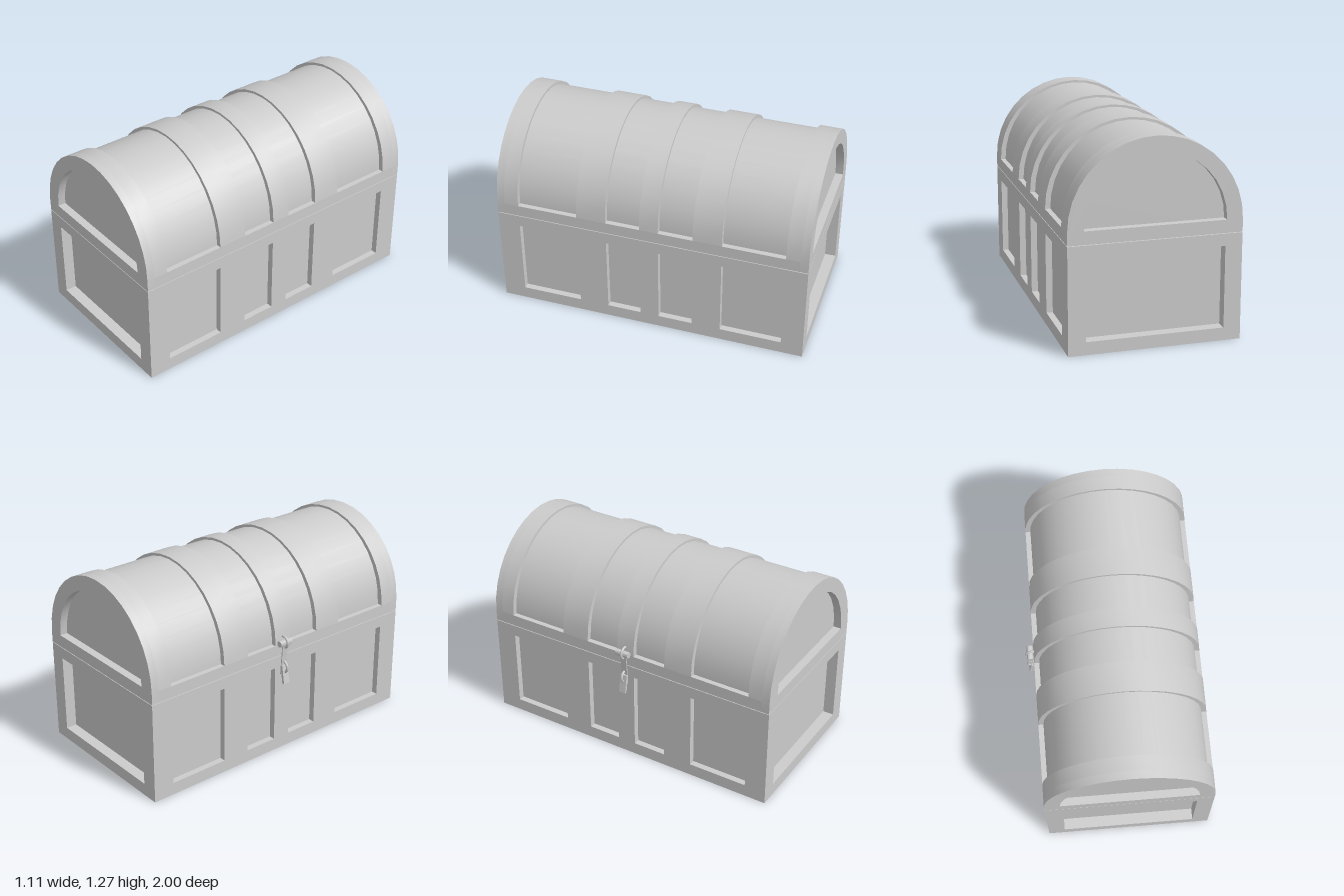
import * as THREE from 'three';
import { toCreasedNormals } from 'three/addons/utils/BufferGeometryUtils.js';

const material = new THREE.MeshStandardMaterial({ color: 0xcccccc });
const HALF_W = 0.5275, HALF_L = 1, SEAM = 0.663, SPRING = 0.74;
// recessed panels between the bands, as [start, end] along z
const panels = [[-0.86, -0.465], [-0.28, -0.06], [0.06, 0.28], [0.47, 0.86]];

function add(parent, name, geometry, x = 0, y = 0, z = 0) {
  const mesh = new THREE.Mesh(geometry, material);
  mesh.name = name;
  mesh.position.set(x, y, z);
  parent.add(mesh);
  return mesh;
}

function extrude(shape, depth) {
  const g = new THREE.ExtrudeGeometry(shape, { depth, bevelEnabled: false, curveSegments: 1 });
  return toCreasedNormals(g, 0.6);
}

const rect = (x0, x1, y0, y1) =>
  [[x0, y0], [x1, y0], [x1, y1], [x0, y1]].map(([x, y]) => new THREE.Vector2(x, y));

// half ellipse on a straight foot
function arch(rx, ry, foot, spring, steps) {
  const pts = foot < spring ? [new THREE.Vector2(-rx, foot), new THREE.Vector2(rx, foot)] : [];
  for (let i = 0; i <= steps; i++) {
    const a = (i / steps) * Math.PI;
    pts.push(new THREE.Vector2(rx * Math.cos(a), spring + ry * Math.sin(a)));
  }
  return pts;
}

function framed(outline, holes) {
  const shape = new THREE.Shape(outline);
  for (const h of holes) shape.holes.push(new THREE.Path(h));
  return shape;
}

function makeBody() {
  const body = new THREE.Group();
  body.name = 'body';
  const top = SEAM - 0.002, endDepth = 0.07, sideDepth = 0.04, inner = HALF_L - endDepth;
  add(body, 'bodyCore', new THREE.BoxGeometry(2 * (HALF_W - sideDepth), 0.7, 2 * inner), 0, 0.35, 0);

  // end frames, each with one large panel
  const endGeo = extrude(framed(rect(-HALF_W, HALF_W, 0, top), [rect(-0.4225, 0.4225, 0.08, 0.586)]), endDepth);
  add(body, 'frontFrame', endGeo, 0, 0, inner);
  add(body, 'backFrame', endGeo, 0, 0, -HALF_L);

  // side frames, each with four panels
  const holes = panels.map(([a, b]) => rect(-b, -a, 0.08, 0.586));
  const sideGeo = extrude(framed(rect(-inner, inner, 0, top), holes), sideDepth);
  sideGeo.rotateY(Math.PI / 2);
  add(body, 'leftFrame', sideGeo, HALF_W - sideDepth, 0, 0);
  add(body, 'rightFrame', sideGeo, -HALF_W, 0, 0);
  return body;
}

function makeLid() {
  const lid = new THREE.Group();
  lid.name = 'lid';
  const endDepth = 0.05, inner = HALF_L - endDepth, rise = 1.27 - SPRING, foot = SEAM + 0.002;
  add(lid, 'lidCore', extrude(new THREE.Shape(arch(0.495, 0.515, foot, SPRING, 18)), 2 * inner), 0, 0, -inner);
  add(lid, 'lidRail', new THREE.BoxGeometry(2 * HALF_W, SPRING - foot, 2 * inner), 0, (SPRING + foot) / 2, 0);

  // arched end frames around a half-round panel
  const outer = arch(HALF_W, rise, foot, SPRING, 18);
  const endGeo = extrude(framed(outer, [arch(0.43, 0.436, 0.745, 0.745, 16)]), endDepth);
  add(lid, 'lidFrontFrame', endGeo, 0, 0, inner);
  add(lid, 'lidBackFrame', endGeo, 0, 0, -HALF_L);

  // raised bands fill the spaces between panels
  const edges = [-inner, ...panels.flat(), inner];
  for (let i = 0; i < edges.length; i += 2) {
    const shape = new THREE.Shape(arch(HALF_W, rise, SPRING, SPRING, 18));
    add(lid, 'lidBand', extrude(shape, edges[i + 1] - edges[i]), 0, 0, edges[i]);
  }
  return lid;
}

function makeLatch() {
  const latch = new THREE.Group();
  latch.name = 'latch';
  // one ring on the lid, one on the body
  for (const y of [0.755, 0.585]) {
    add(latch, 'latchRing', new THREE.TorusGeometry(0.037, 0.008, 8, 20), -0.513, y, 0);
  }
  const pin = new THREE.CylinderGeometry(0.02, 0.02, 0.09, 12).rotateX(Math.PI / 2);
  add(latch, 'latchPin', toCreasedNormals(pin, 0.7), -0.527, 0.756, -0.003);

  // slotted hasp hanging from the pin over the lower ring
  const hasp = framed(rect(-0.02, 0.02, -0.21, 0), [rect(-0.01, 0.01, -0.195, -0.125)]);
  const haspMesh = add(latch, 'hasp', extrude(hasp, 0.007).rotateY(Math.PI / 2), -0.529, 0.745, 0);
  haspMesh.rotation.z = 0.07;

  // peg through the lower ring
  const peg = add(latch, 'latchPeg', new THREE.BoxGeometry(0.016, 0.12, 0.045), -0.53, 0.538, 0);
  peg.rotation.z = -0.17;
  return latch;
}

export function createModel() {
  const model = new THREE.Group();
  model.name = 'chest';
  const chest = new THREE.Group();
  chest.name = 'chestBox';
  chest.position.x = 0.0225;
  chest.add(makeBody(), makeLid());
  model.add(chest, makeLatch());
  return model;
}
